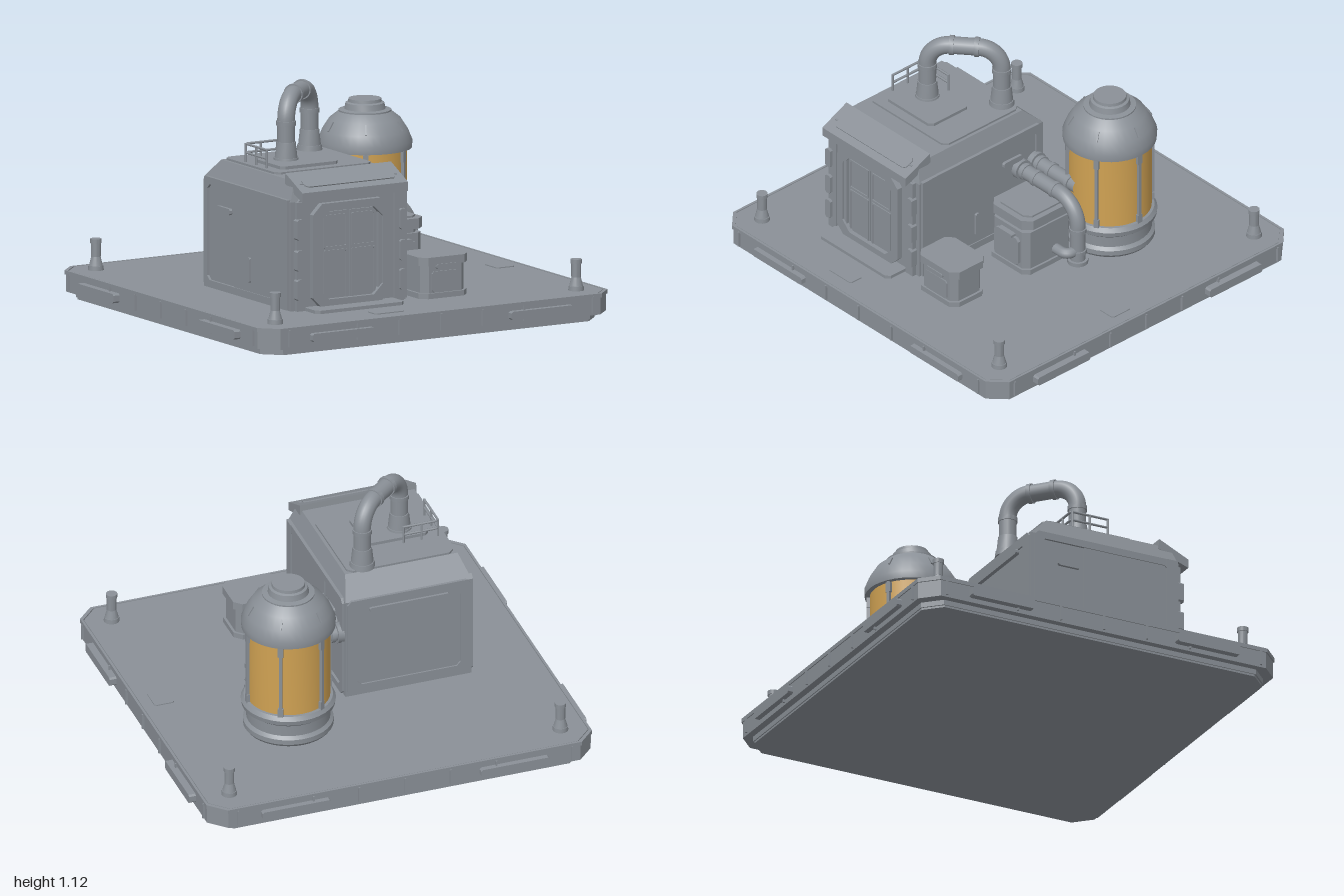
import * as THREE from 'three';
import { toCreasedNormals } from 'three/addons/utils/BufferGeometryUtils.js';

const V = (x, y, z) => new THREE.Vector3(x, y, z);

export function createModel() {
  const model = new THREE.Group();
  const steel = new THREE.MeshStandardMaterial({ color: 0x8a9097 });
  steel.name = 'steelGrey';
  const amber = new THREE.MeshStandardMaterial({ color: 0xd0a253 });
  amber.name = 'amberGlass';

  const add = (name, geo, mat = steel) => {
    const mesh = new THREE.Mesh(geo, mat);
    mesh.name = name;
    model.add(mesh);
    return mesh;
  };
  const box = (name, x0, x1, y0, y1, z0, z1) =>
    add(name, new THREE.BoxGeometry(x1 - x0, y1 - y0, z1 - z0)
      .translate((x0 + x1) / 2, (y0 + y1) / 2, (z0 + z1) / 2));
  const cyl = (name, rTop, rBottom, y0, y1, x, z, sides = 20) =>
    add(name, toCreasedNormals(new THREE.CylinderGeometry(rTop, rBottom, y1 - y0, sides), 0.6)
      .translate(x, (y0 + y1) / 2, z));

  // Rectangle with cut corners
  const outline = (w, h, c, Type = THREE.Shape) => {
    const a = w / 2, b = h / 2;
    return new Type([[-a + c, -b], [a - c, -b], [a, -b + c], [a, b - c], [a - c, b], [-a + c, b], [-a, b - c], [-a, -b + c]]
      .map(p => new THREE.Vector2(...p)));
  };
  // Plate of size w by h, thickness d along the axis; rim > 0 makes it a frame
  const plate = (name, axis, [x, y, z], w, h, d, c = 0.02, rim = 0) => {
    const shape = outline(w, h, c);
    if (rim) shape.holes.push(outline(w - 2 * rim, h - 2 * rim, c, THREE.Path));
    const geo = new THREE.ExtrudeGeometry(shape, { depth: d, bevelEnabled: false }).translate(0, 0, -d / 2);
    if (axis === 'y') geo.rotateX(-Math.PI / 2);
    if (axis === 'x') geo.rotateY(Math.PI / 2);
    return add(name, geo.translate(x, y, z));
  };
  // Box whose upper rectangle differs from the lower one: [x0, x1, z0, z1]
  const taper = (name, y0, y1, low, high) => {
    const geo = new THREE.BoxGeometry(1, 1, 1).toNonIndexed(), p = geo.attributes.position;
    for (let i = 0; i < p.count; i++) {
      const up = p.getY(i) > 0, r = up ? high : low;
      p.setXYZ(i, r[p.getX(i) > 0 ? 1 : 0], up ? y1 : y0, r[p.getZ(i) > 0 ? 3 : 2]);
    }
    geo.computeVertexNormals();
    return add(name, geo);
  };
  // Pipe through points with rounded corners
  const pipe = (name, pts, radius, bend, seg = 60, sides = 18) => {
    const path = new THREE.CurvePath();
    let from = pts[0];
    for (let i = 1; i < pts.length - 1; i++) {
      const a = pts[i].clone().add(pts[i - 1].clone().sub(pts[i]).setLength(bend));
      const b = pts[i].clone().add(pts[i + 1].clone().sub(pts[i]).setLength(bend));
      path.add(new THREE.LineCurve3(from, a));
      const k = 0.552, toward = q => q.clone().lerp(pts[i], k);
      path.add(new THREE.CubicBezierCurve3(a, toward(a), toward(b), b));
      from = b;
    }
    path.add(new THREE.LineCurve3(from, pts[pts.length - 1]));
    return add(name, new THREE.TubeGeometry(path, seg, radius, sides, false));
  };
  // Collar around a pipe at p, along direction dir
  const collar = (name, p, dir, r, len = 0.022) => {
    const m = add(name, toCreasedNormals(new THREE.CylinderGeometry(r, r, len, 18), 0.6));
    m.position.copy(p);
    m.quaternion.setFromUnitVectors(V(0, 1, 0), dir.clone().normalize());
  };

  // Base platform
  plate('baseFoot', 'y', [0, 0.025, 0], 1.86, 1.83, 0.03, 0.08);
  plate('baseSkirt', 'y', [0, 0.0825, 0], 1.93, 1.9, 0.095, 0.08);
  plate('baseDeck', 'y', [0, 0.127, 0], 1.91, 1.88, 0.018, 0.08);
  plate('baseRim', 'y', [0, 0.127, 0], 1.94, 1.91, 0.02, 0.08, 0.012);
  plate('basePad', 'y', [0, 0.005, 0], 1.85, 1.82, 0.01, 0.08);
  for (const s of [-1, 1]) {
    for (const t of [-0.55, 0.55]) {
      plate('edgePanelZ', 'z', [t, 0.08, s * 0.962], 0.345, 0.04, 0.03, 0.008);
      plate('edgePanelX', 'x', [s * 0.982, 0.08, t], 0.335, 0.045, 0.036, 0.008);
    }
    for (const t of [-0.84, -0.46, -0.23, 0, 0.23, 0.46, 0.84]) {
      box('edgeRibZ', t - 0.004, t + 0.004, 0.045, 0.125, s * 0.952 - 0.01, s * 0.952 + 0.01);
      box('edgeRibX', s * 0.967 - 0.01, s * 0.967 + 0.01, 0.045, 0.125, t - 0.004, t + 0.004);
    }
    // Corner posts
    for (const z of [-0.815, 0.815]) {
      const x = s * 0.833;
      cyl('postFoot', 0.036, 0.038, 0.13, 0.158, x, z);
      cyl('postCone', 0.022, 0.033, 0.158, 0.2, x, z);
      cyl('postShaft', 0.023, 0.023, 0.2, 0.27, x, z);
      cyl('postCap', 0.027, 0.027, 0.265, 0.286, x, z);
    }
  }
  plate('deckHatch', 'y', [-0.23, 0.138, 0.83], 0.16, 0.08, 0.006, 0.01);
  plate('deckHatch', 'y', [0.85, 0.138, 0.09], 0.1, 0.12, 0.006, 0.01);

  // Building shell
  box('cabinBody', -0.61, 0.025, 0.13, 0.66, -0.2, 0.59);
  taper('cabinRoof', 0.66, 0.755, [-0.61, 0.025, -0.2, 0.59], [-0.575, -0.01, -0.1, 0.56]);
  for (const x of [-0.61, 0.025]) {
    plate('sideFrame', 'x', [x, 0.405, 0.19], 0.75, 0.53, 0.024, 0.02, 0.035);
    plate('sidePanel', 'x', [x, 0.41, 0.3], 0.44, 0.48, 0.014, 0.012);
    plate('sideVent', 'x', [x, 0.53, 0.0], 0.12, 0.03, 0.03, 0.008);
    plate('sideHandle', 'x', [x, 0.28, 0.23], 0.025, 0.12, 0.036, 0.006);
  }
  plate('backFrame', 'z', [-0.2925, 0.405, -0.2], 0.62, 0.52, 0.016, 0.02, 0.05);
  plate('backPanelBar', 'z', [-0.2925, 0.605, -0.205], 0.4, 0.025, 0.03, 0.006);
  plate('roofPlate', 'y', [-0.293, 0.757, 0.14], 0.535, 0.48, 0.016, 0.025);
  plate('roofHatch', 'y', [-0.34, 0.768, 0.205], 0.32, 0.25, 0.024, 0.02);

  // Front doorway
  plate('frontWall', 'z', [-0.2925, 0.41, 0.59], 0.585, 0.54, 0.02, 0.03);
  plate('doorSurround', 'z', [-0.2975, 0.395, 0.605], 0.425, 0.5, 0.05, 0.05, 0.038);
  plate('doorInnerFrame', 'z', [-0.2975, 0.385, 0.602], 0.35, 0.48, 0.035, 0.03, 0.02);
  for (const s of [-1, 1]) {
    const x = -0.2975 + s * 0.077;
    box('doorLeaf', x - 0.073, x + 0.073, 0.145, 0.6, 0.59, 0.608);
    plate('doorLeafTrim', 'z', [x, 0.505, 0.609], 0.13, 0.16, 0.008, 0.004, 0.008);
    plate('doorLeafTrim', 'z', [x, 0.29, 0.609], 0.13, 0.25, 0.008, 0.004, 0.008);
    const c = -0.2925 + s * 0.27;
    box('frontColumn', c - 0.025, c + 0.025, 0.13, 0.66, 0.575, 0.612);
    for (const y of [0.24, 0.38, 0.53])
      plate('columnClamp', 'z', [c + s * 0.015, y, 0.61], 0.035, 0.1, 0.035, 0.008);
    const e = -0.2925 + s * 0.32;
    box('cornerPost', e - 0.012, e + 0.012, 0.14, 0.67, 0.52, 0.58);
  }
  plate('doorStep', 'y', [-0.298, 0.142, 0.62], 0.49, 0.2, 0.02, 0.02);

  // Sloped awning
  const slope = new THREE.Shape([[0.495, 0.735], [0.595, 0.69], [0.655, 0.668], [0.655, 0.712], [0.5, 0.785]]
    .map(p => new THREE.Vector2(...p)));
  add('awning', new THREE.ExtrudeGeometry(slope, { depth: 0.585, bevelEnabled: false })
    .rotateY(-Math.PI / 2).translate(0, 0, 0));
  const awningPanel = plate('awningPanel', 'y', [0, 0, 0], 0.5, 0.07, 0.012, 0.015);
  awningPanel.position.set(-0.2925, 0.743, 0.588);
  awningPanel.rotation.x = 0.44;
  box('awningFill', -0.56, -0.025, 0.65, 0.745, 0.48, 0.595);

  // Roof pipe
  const roofA = V(-0.38, 0.77, 0.17), roofB = V(-0.11, 0.77, -0.06), up = V(0, 0.305, 0);
  const topA = roofA.clone().add(up), topB = roofB.clone().add(up), across = topB.clone().sub(topA);
  pipe('roofPipe', [roofA, topA, topB, roofB], 0.042, 0.11, 72);
  for (const p of [roofA, roofB]) {
    cyl('pipeFlange', 0.058, 0.062, 0.76, 0.79, p.x, p.z);
    cyl('pipeSocket', 0.046, 0.054, 0.79, 0.865, p.x, p.z);
    collar('pipeCollar', V(p.x, 0.955, p.z), up, 0.047);
  }
  for (const t of [0.33, 0.67]) collar('pipeCollar', topA.clone().addScaledVector(across, t), across, 0.048);

  // Roof railing
  for (const y of [0.81, 0.852])
    pipe('railBar', [V(-0.36, y, 0.055), V(-0.535, y, 0.055), V(-0.535, y, 0.25)], 0.006, 0.015, 40, 8);
  for (const [x, z] of [[-0.36, 0.055], [-0.45, 0.055], [-0.535, 0.06], [-0.535, 0.155], [-0.535, 0.25]])
    cyl('railPost', 0.006, 0.006, 0.75, 0.855, x, z, 8);

  // Small crate
  plate('crateBody', 'y', [0.21, 0.225, 0.55], 0.24, 0.195, 0.19, 0.03);
  plate('crateFoot', 'y', [0.21, 0.147, 0.55], 0.265, 0.215, 0.03, 0.035);
  plate('crateLid', 'y', [0.21, 0.315, 0.55], 0.27, 0.22, 0.04, 0.035);
  plate('crateGrip', 'z', [0.21, 0.29, 0.655], 0.11, 0.022, 0.02, 0.005);
  plate('crateFront', 'z', [0.21, 0.215, 0.648], 0.15, 0.1, 0.01, 0.01);

  // Machine unit between cabin and tank
  plate('unitBody', 'y', [0.232, 0.25, 0.06], 0.25, 0.3, 0.23, 0.03);
  plate('unitFoot', 'y', [0.232, 0.147, 0.06], 0.272, 0.32, 0.03, 0.03);
  plate('unitNeck', 'y', [0.232, 0.375, 0.06], 0.215, 0.27, 0.04, 0.03);
  plate('unitLid', 'y', [0.232, 0.41, 0.06], 0.275, 0.31, 0.05, 0.04);
  plate('unitTop', 'y', [0.232, 0.437, 0.06], 0.22, 0.25, 0.014, 0.03);
  plate('unitFront', 'z', [0.232, 0.25, 0.215], 0.17, 0.15, 0.02, 0.015);
  plate('unitGrip', 'z', [0.232, 0.33, 0.222], 0.1, 0.022, 0.03, 0.005);

  // Side pipes
  const bottom = V(0.435, 0.13, -0.05);
  pipe('downPipe', [V(0.02, 0.468, -0.05), V(0.435, 0.468, -0.05), bottom], 0.037, 0.13);
  pipe('tankPipe', [V(0.02, 0.468, -0.145), V(0.15, 0.468, -0.145), V(0.33, 0.468, -0.15)], 0.037, 0.03);
  for (const z of [-0.05, -0.145])
    for (const [x, r] of [[0.035, 0.05], [0.075, 0.043], [0.15, 0.042], [0.28, 0.042]])
      collar('sidePipeCollar', V(x, 0.468, z), V(1, 0, 0), r, x < 0.05 ? 0.04 : 0.02);
  for (const [y, r] of [[0.145, 0.05], [0.2, 0.043], [0.32, 0.042]])
    collar('downPipeCollar', V(0.435, y, -0.05), up, r);
  pipe('unitElbow', [V(0.34, 0.205, 0.02), V(0.435, 0.205, 0.02), V(0.435, 0.205, -0.05)], 0.026, 0.035, 24, 12);

  // Storage tank
  const tx = 0.358, tz = -0.325;
  const lathe = (name, pts, mat, seg = 36) =>
    add(name, toCreasedNormals(new THREE.LatheGeometry(pts.map(p => new THREE.Vector2(...p)), seg), 0.5)
      .translate(tx, 0, tz), mat);
  lathe('tankBase', [[0.2, 0.13], [0.215, 0.15], [0.215, 0.175], [0.2, 0.19], [0.2, 0.245], [0.222, 0.262],
    [0.226, 0.285], [0.212, 0.305], [0.19, 0.308]]);
  lathe('tankGlass', [[0.199, 0.3], [0.199, 0.7]], amber);
  lathe('tankDome', [[0.195, 0.69], [0.223, 0.69], [0.225, 0.725], [0.205, 0.775], [0.17, 0.83], [0.125, 0.865],
    [0.125, 0.872], [0.098, 0.876], [0.092, 0.905], [0.08, 0.91], [0.078, 0.925], [0, 0.925]]);
  for (let i = 0; i < 6; i++) {
    const a = i * Math.PI / 3, strut = new THREE.Group();
    strut.name = 'tankStrut';
    for (const [w, y, h] of [[0.014, 0.5, 0.42], [0.026, 0.66, 0.05], [0.026, 0.32, 0.05]]) {
      const bar = new THREE.Mesh(new THREE.BoxGeometry(0.022, h, w), steel);
      bar.name = 'strutBar';
      bar.position.set(0.203, y, 0);
      strut.add(bar);
    }
    // Short seam rib on the dome
    const rib = new THREE.Mesh(new THREE.BoxGeometry(0.01, 0.05, 0.008), steel);
    rib.name = 'domeRib';
    rib.position.set(0.188, 0.803, 0);
    rib.rotation.z = 0.57;
    strut.add(rib);
    strut.position.set(tx, 0, tz);
    strut.rotation.y = a;
    model.add(strut);
  }
  return model;
}
